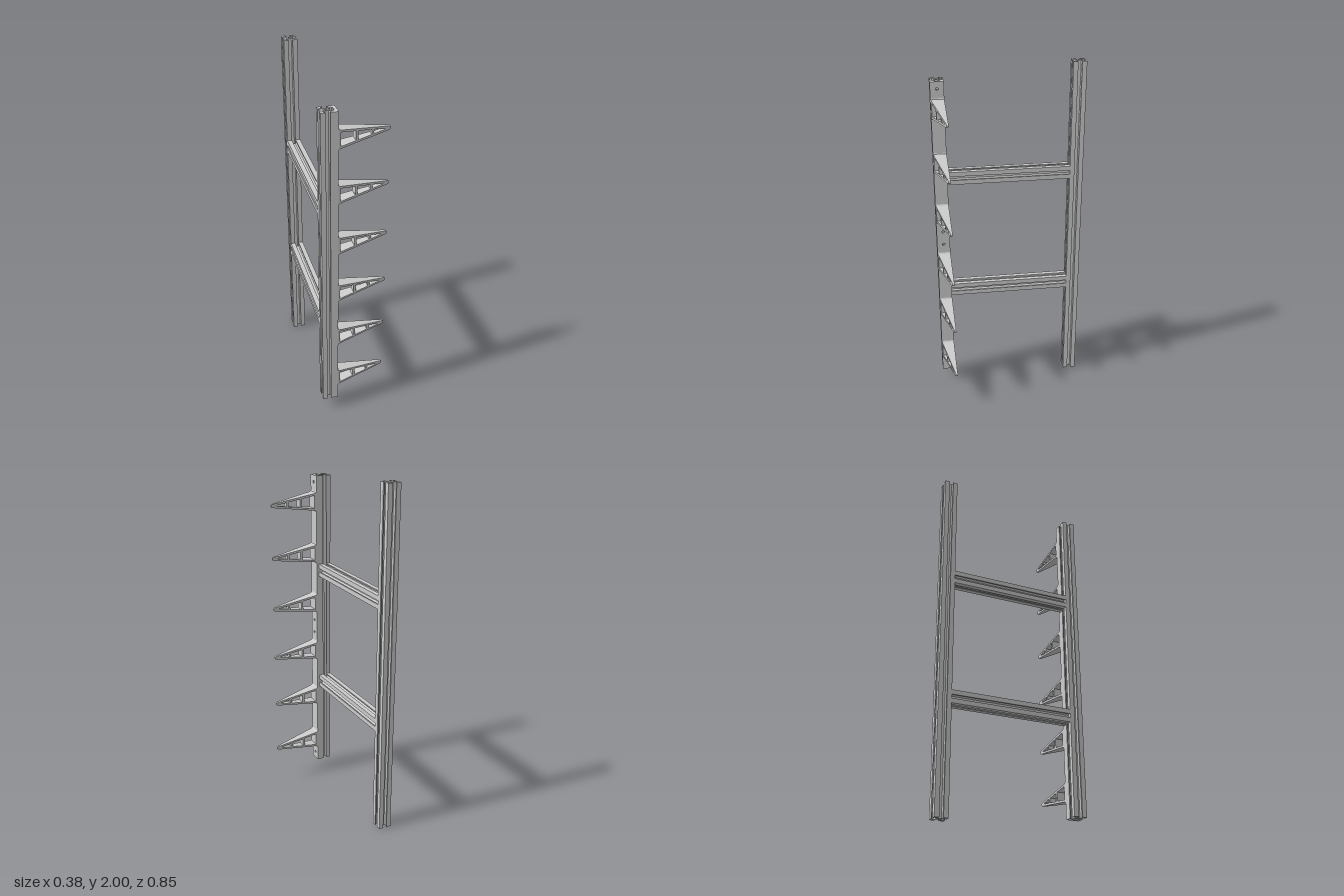
import * as THREE from 'three';

const material = new THREE.MeshStandardMaterial({ color: 0xcccccc, flatShading: true });
const BEAM_X = -0.1525;   // centre line of every beam
const POST_Z = 0.3875;    // posts sit at +/- this depth

const polygon = (Type, pts) => new Type(pts.map(([x, y]) => new THREE.Vector2(x, y)));

function circlePath(x, y, r, n) {
  const pts = [];
  for (let i = 0; i < n; i++) {
    const a = (i / n) * Math.PI * 2;
    pts.push([x + r * Math.cos(a), y + r * Math.sin(a)]);
  }
  return polygon(THREE.Path, pts);
}

function add(parent, name, geometry) {
  const mesh = new THREE.Mesh(geometry, material);
  mesh.name = name;
  parent.add(mesh);
  return mesh;
}

// Slotted beam section: one quarter, turned four times
function beamSection() {
  const half = [[0.013, 0.009], [0.023, 0.019], [0.031, 0.019], [0.031, 0.011], [0.0375, 0.011]];
  const quarter = [...half, [0.0375, 0.0375], ...half.map(([x, y]) => [y, x]).reverse()];
  const pts = [];
  for (let i = 0; i < 4; i++) {
    const c = Math.round(Math.cos(i * Math.PI / 2)), s = Math.round(Math.sin(i * Math.PI / 2));
    for (const [x, y] of quarter) pts.push([x * c - y * s, x * s + y * c]);
  }
  const shape = polygon(THREE.Shape, pts);
  shape.holes.push(circlePath(0, 0, 0.007, 12));
  return shape;
}

function beam(length) {
  return new THREE.ExtrudeGeometry(beamSection(), { depth: length, bevelEnabled: false });
}

// Truss arm: tapered in height and in depth, with three windows
function armGeometry() {
  const h = (x) => THREE.MathUtils.lerp(0.05, 0.011, (x + 0.09) / 0.265);
  const upper = [[-0.1, 0.06], [-0.097, 0.054], [-0.09, 0.05]];
  for (let i = 0; i <= 4; i++) {
    const a = Math.PI / 2 * (1 - i / 4);
    upper.push([0.174 + 0.011 * Math.cos(a), 0.011 * Math.sin(a)]);
  }
  const lower = upper.slice(0, -1).map(([x, y]) => [x, -y]);
  const shape = polygon(THREE.Shape, [...lower, ...upper.reverse()]);
  for (const [x0, x1] of [[-0.088, -0.007], [0.006, 0.079], [0.091, 0.15]]) {
    const a = h(x0) - 0.012, b = h(x1) - 0.012;
    shape.holes.push(polygon(THREE.Path, [[x0, -a], [x0, a], [x1, b], [x1, -b]]));
  }
  const geo = new THREE.ExtrudeGeometry(shape, { depth: 1, bevelEnabled: false });
  const p = geo.attributes.position;
  for (let i = 0; i < p.count; i++) {
    const depth = THREE.MathUtils.lerp(0.073, 0.011, (p.getX(i) + 0.1) / 0.285);
    p.setZ(i, 0.35 + p.getZ(i) * depth);
  }
  geo.computeVertexNormals();
  return geo;
}

// Mounting plate with screw holes, drawn flat then stood on its side
function plateGeometry() {
  const shape = polygon(THREE.Shape, [[-0.0375, 0.08], [0.0375, 0.08], [0.0375, 1.925], [-0.0375, 1.925]]);
  for (const y of [0.12, 0.96, 1.04, 1.885]) shape.holes.push(circlePath(0, y, 0.008, 16));
  return new THREE.ExtrudeGeometry(shape, { depth: 0.015, bevelEnabled: false }).rotateY(Math.PI / 2);
}

export function createModel() {
  const model = new THREE.Group();
  model.name = 'wallRack';

  // Upright posts
  for (const [name, y, length, z] of [['rearPost', 0, 2, -POST_Z], ['frontPost', 0.08, 1.845, POST_Z]]) {
    add(model, name, beam(length).rotateX(-Math.PI / 2)).position.set(BEAM_X, y, z);
  }

  // Cross beams joining the posts
  for (const y of [0.6425, 1.3625]) {
    add(model, 'crossBeam', beam(0.7)).position.set(BEAM_X, y, -0.35);
  }

  // Plate carrying six arms
  const rack = new THREE.Group();
  rack.name = 'armRack';
  model.add(rack);
  add(rack, 'mountingPlate', plateGeometry()).position.set(-0.115, 0, POST_Z);
  const arm = armGeometry();
  for (let i = 0; i < 6; i++) add(rack, 'arm', arm).position.y = 0.23 + i * 0.309;

  return model;
}
